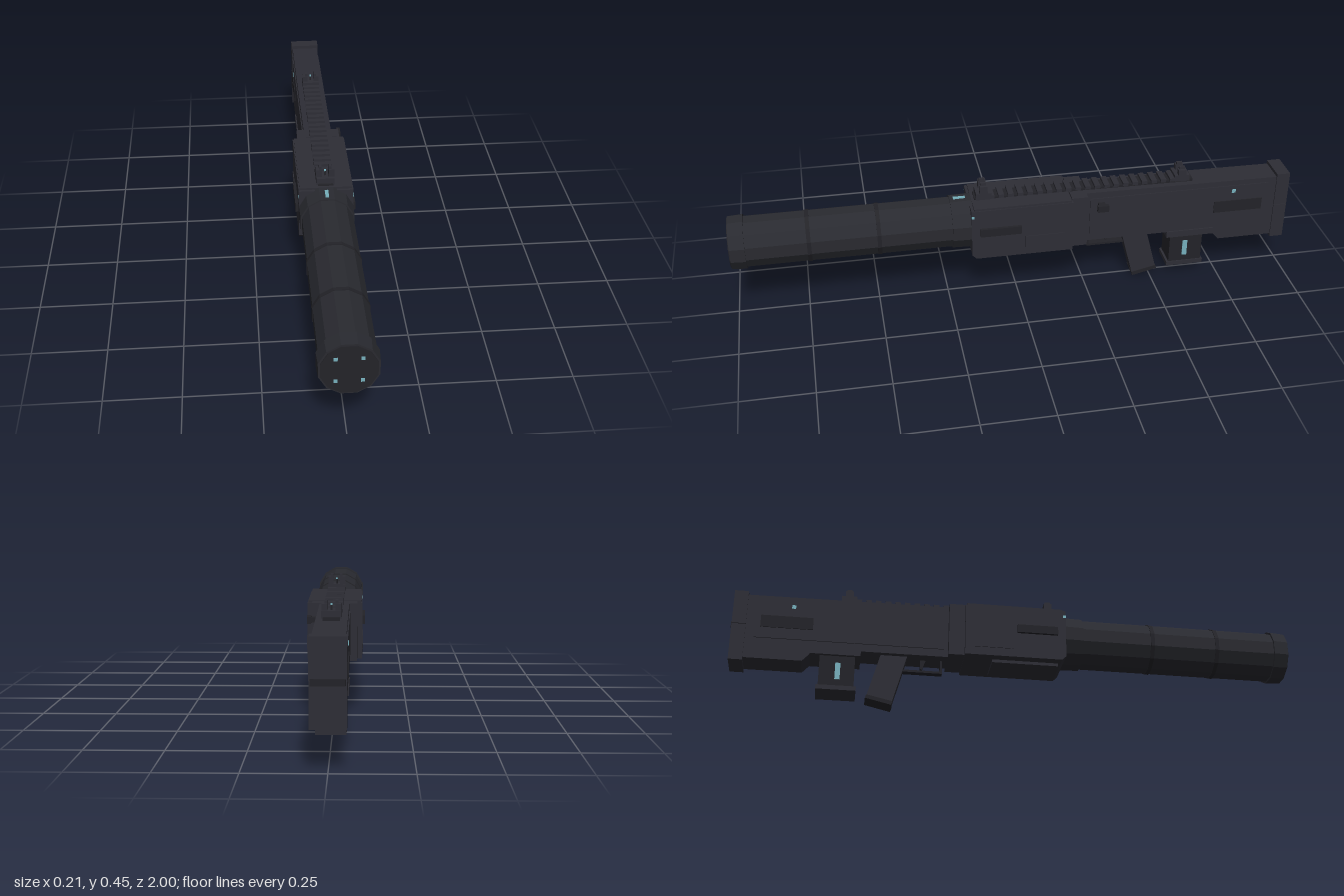
import * as THREE from 'three';

const mat = (name, color) => {
  const m = new THREE.MeshStandardMaterial({ color });
  m.name = name;
  return m;
};

export function createModel() {
  const root = new THREE.Group();
  root.name = 'launcher';
  const shell = mat('shell grey', 0x2d2d35);
  const barrelGrey = mat('barrel grey', 0x292a30);
  const dark = mat('dark trim', 0x232328);
  const glow = mat('pale cyan', 0x76b0bc);

  const add = (name, geo, m) => {
    const mesh = new THREE.Mesh(geo, m);
    mesh.name = name;
    root.add(mesh);
    return mesh;
  };
  // Box given by its limits on each axis
  const box = (name, x0, x1, y0, y1, z0, z1, m = shell) => {
    const g = new THREE.BoxGeometry(x1 - x0, y1 - y0, z1 - z0);
    return add(name, g.translate((x0 + x1) / 2, (y0 + y1) / 2, (z0 + z1) / 2), m);
  };
  // Box centred on x = 0
  const mid = (name, hw, y0, y1, z0, z1, m) => box(name, -hw, hw, y0, y1, z0, z1, m);
  // The same box on both sides
  const pair = (name, x0, x1, ...rest) => {
    box(name + 'Left', x0, x1, ...rest);
    box(name + 'Right', -x1, -x0, ...rest);
  };
  // Side outline of [z, y] points extruded across x
  const profile = (name, pts, hw, m = shell) => {
    const s = new THREE.Shape(pts.map(([z, y]) => new THREE.Vector2(-z, y)));
    const g = new THREE.ExtrudeGeometry(s, { depth: hw * 2, bevelEnabled: false });
    return add(name, g.translate(0, 0, -hw).rotateY(Math.PI / 2), m);
  };
  // Twelve-sided drum along z with a flat side on top
  const drum = (name, rFront, rBack, z0, z1, m = barrelGrey) => {
    const g = new THREE.CylinderGeometry(rFront, rBack, z1 - z0, 12, 1, false, Math.PI / 12).toNonIndexed();
    g.computeVertexNormals();
    return add(name, g.rotateX(Math.PI / 2).translate(0, 0.292, (z0 + z1) / 2), m);
  };

  // Barrel with bands and muzzle cap
  drum('barrel', 0.09, 0.09, 0.15, 0.95);
  drum('muzzleCap', 0.094, 0.097, 0.945, 0.997);
  drum('muzzleFace', 0.088, 0.088, 0.99, 1.0, dark);
  for (const z of [0.49, 0.73]) drum('barrelBand', 0.0925, 0.0925, z - 0.007, z + 0.007, dark);
  drum('barrelCollar', 0.095, 0.097, 0.16, 0.235);
  for (const x of [-0.04, 0.04]) for (const y of [0.252, 0.333])
    box('muzzleLight', x - 0.006, x + 0.006, y - 0.006, y + 0.006, 0.997, 1.002, glow);
  mid('collarLight', 0.006, 0.382, 0.388, 0.18, 0.222, glow);

  // Handguard
  profile('handguard', [[0.17, 0.2], [0.155, 0.185], [-0.19, 0.185], [-0.19, 0.378], [0.17, 0.378]], 0.094);
  mid('handguardTop', 0.09, 0.376, 0.385, -0.185, 0.16);
  mid('handguardBase', 0.06, 0.174, 0.187, -0.09, 0.145);
  mid('handguardNeck', 0.077, 0.187, 0.384, -0.246, -0.188);
  pair('handguardSlot', 0.09, 0.104, 0.278, 0.308, -0.005, 0.14, dark);
  pair('handguardPanel', 0.09, 0.097, 0.215, 0.26, -0.16, -0.02);
  pair('handguardLight', 0.092, 0.0955, 0.35, 0.36, 0.16, 0.17, glow);

  // Receiver and stock in one outline
  profile('receiver', [[-0.2, 0.187], [-0.72, 0.187], [-0.725, 0.165], [-0.75, 0.137],
    [-0.96, 0.137], [-0.96, 0.378], [-0.2, 0.384]], 0.05);
  pair('receiverPanel', 0.049, 0.054, 0.215, 0.36, -0.92, -0.26);
  pair('stockPanel', 0.052, 0.057, 0.255, 0.3, -0.9, -0.72, dark);
  pair('stockLight', 0.052, 0.056, 0.332, 0.346, -0.797, -0.783, glow);
  mid('buttPad', 0.054, 0.126, 0.262, -0.998, -0.95);
  mid('buttPadUpper', 0.054, 0.264, 0.39, -0.998, -0.95);
  mid('buttSeam', 0.05, 0.25, 0.27, -1.0, -0.96, dark);

  // Charging handle on the left side
  box('handleStem', 0.05, 0.08, 0.328, 0.344, -0.312, -0.288, dark);
  box('handleKnob', 0.076, 0.09, 0.324, 0.348, -0.32, -0.28, dark);

  // Top rail with teeth
  mid('railBase', 0.026, 0.38, 0.391, -0.64, 0.15, dark);
  for (let i = 0; i < 20; i++) {
    const z = 0.09 - i * 0.0345;
    mid('railTooth', 0.031, 0.388, 0.4, z - 0.01, z + 0.01);
  }

  // Sights
  const sight = (name, z, top) => {
    mid(name + 'Base', 0.031, 0.386, 0.41, z - 0.027, z + 0.027);
    pair(name + 'Ear', 0.012, 0.031, 0.408, top - 0.01, z - 0.014, z + 0.014);
    pair(name + 'Tip', 0.012, 0.021, top - 0.012, top, z - 0.01, z + 0.01);
    mid(name + 'Pin', 0.003, 0.408, 0.426, z - 0.004, z + 0.004, dark);
    mid(name + 'Dot', 0.003, 0.426, 0.431, z - 0.004, z + 0.004, glow);
  };
  sight('frontSight', 0.117, 0.447);
  sight('rearSight', -0.6, 0.44);

  // Trigger and guard
  mid('guardFront', 0.012, 0.138, 0.188, -0.27, -0.262, dark);
  mid('guardBottom', 0.012, 0.138, 0.146, -0.41, -0.262, dark);
  profile('trigger', [[-0.32, 0.188], [-0.34, 0.188], [-0.34, 0.155], [-0.332, 0.15], [-0.328, 0.165]], 0.007, dark);

  // Slanted grip
  profile('grip', [[-0.387, 0.19], [-0.48, 0.19], [-0.523, 0.028], [-0.435, 0.008]], 0.031);
  profile('gripCap', [[-0.432, 0.014], [-0.436, 0.0], [-0.527, 0.021], [-0.523, 0.034]], 0.033, dark);

  // Magazine
  mid('magazineWell', 0.056, 0.166, 0.19, -0.725, -0.55);
  mid('magazine', 0.044, 0.05, 0.17, -0.69, -0.568, dark);
  mid('magazineBase', 0.048, 0.038, 0.054, -0.697, -0.56);
  pair('magazineLight', 0.042, 0.0465, 0.078, 0.14, -0.635, -0.617, glow);

  return root;
}
